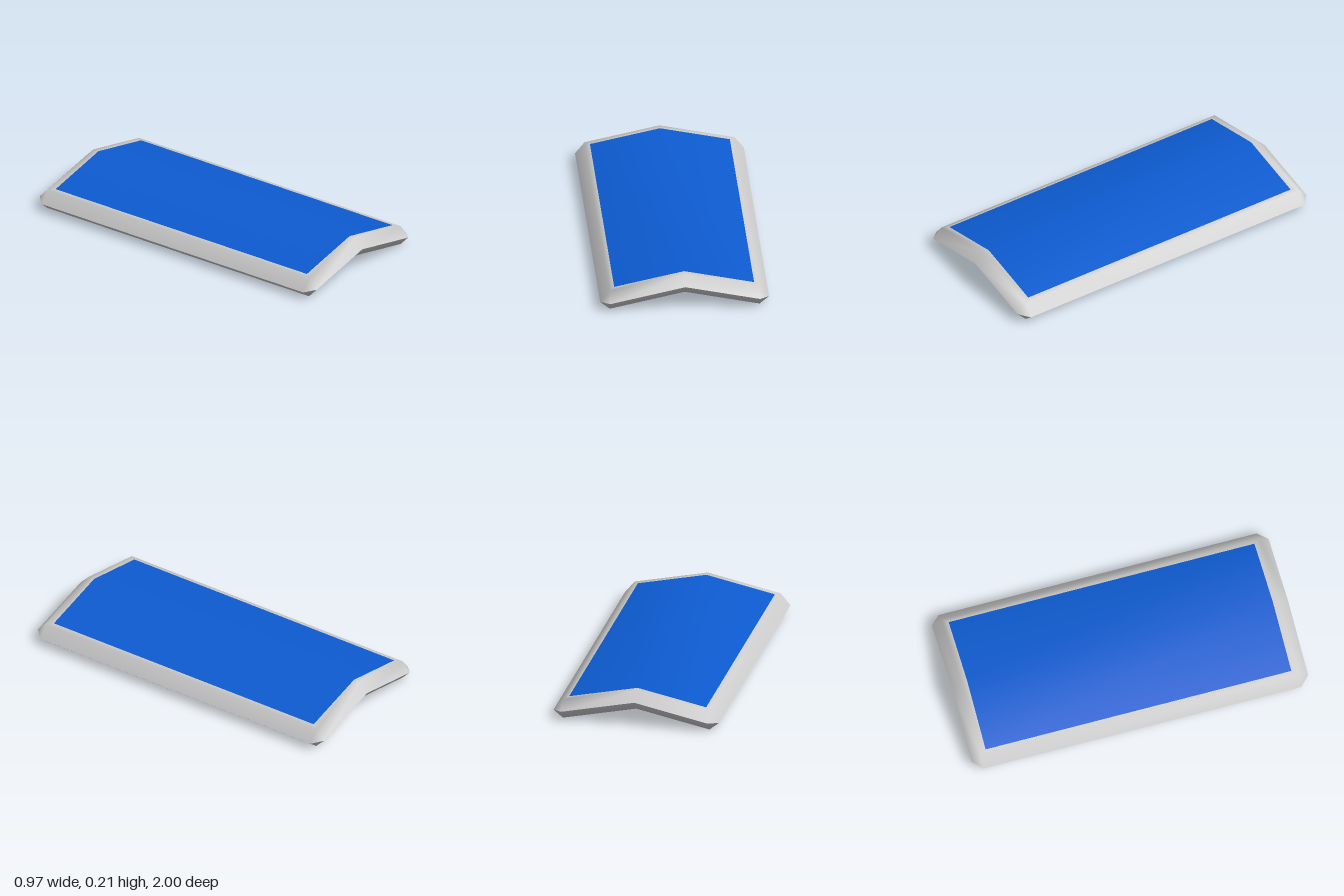
import * as THREE from 'three';
import { mergeVertices } from 'three/addons/utils/BufferGeometryUtils.js';

const SLOPE = 0.214; // fall of the ridged slab to either side

// Outline as seen from above; cx and cz cut the corners, every point follows the ridge.
function ring(hx, hz, ridgeY, cx = 0, cz = 0) {
  const a = hx - cx, b = hz - cz;
  return [[0, hz], [a, hz], [hx, b], [hx, -b], [a, -hz],
    [0, -hz], [-a, -hz], [-hx, -b], [-hx, b], [-a, hz]]
    .map(([x, z]) => [x, ridgeY - SLOPE * Math.abs(x), z]);
}

// Skin between successive rings, skipping collapsed triangles.
function loft(rings) {
  const pos = [];
  const same = (p, q) => p.every((v, i) => Math.abs(v - q[i]) < 1e-6);
  const tri = (a, b, c) => {
    if (!same(a, b) && !same(b, c) && !same(a, c)) pos.push(...a, ...b, ...c);
  };
  for (let r = 0; r < rings.length - 1; r++) {
    const lo = rings[r], up = rings[r + 1], n = lo.length;
    for (let i = 0; i < n; i++) {
      const j = (i + 1) % n;
      tri(lo[i], lo[j], up[j]);
      tri(lo[i], up[j], up[i]);
    }
  }
  const raw = new THREE.BufferGeometry();
  raw.setAttribute('position', new THREE.Float32BufferAttribute(pos, 3));
  const geo = mergeVertices(raw);
  geo.computeVertexNormals();
  return geo;
}

export function createModel() {
  const group = new THREE.Group();
  group.name = 'ridgedPanel';
  const grey = new THREE.MeshStandardMaterial({ color: 0xcccccc });
  grey.name = 'lightGrey';
  const blue = new THREE.MeshStandardMaterial({ color: 0x0d5bd1 });
  blue.name = 'blue';

  const add = (name, rings, material) => {
    const mesh = new THREE.Mesh(loft(rings), material);
    mesh.name = name;
    group.add(mesh);
  };

  const rim = ring(0.485, 1, 0.15, 0.055, 0.055);
  const panelEdge = ring(0.402, 0.908, 0.207);

  // Underside and lower bevel
  add('lowerShell', [ring(0, 0.945, 0.093), ring(0.43, 0.945, 0.093), rim], grey);
  // Upper bevel and the border around the panel
  add('upperFrame', [rim, ring(0.43, 0.945, 0.207), panelEdge], grey);
  // Blue surface, flush with the border
  add('topPanel', [panelEdge, ring(0, 0.908, 0.207)], blue);
  return group;
}
